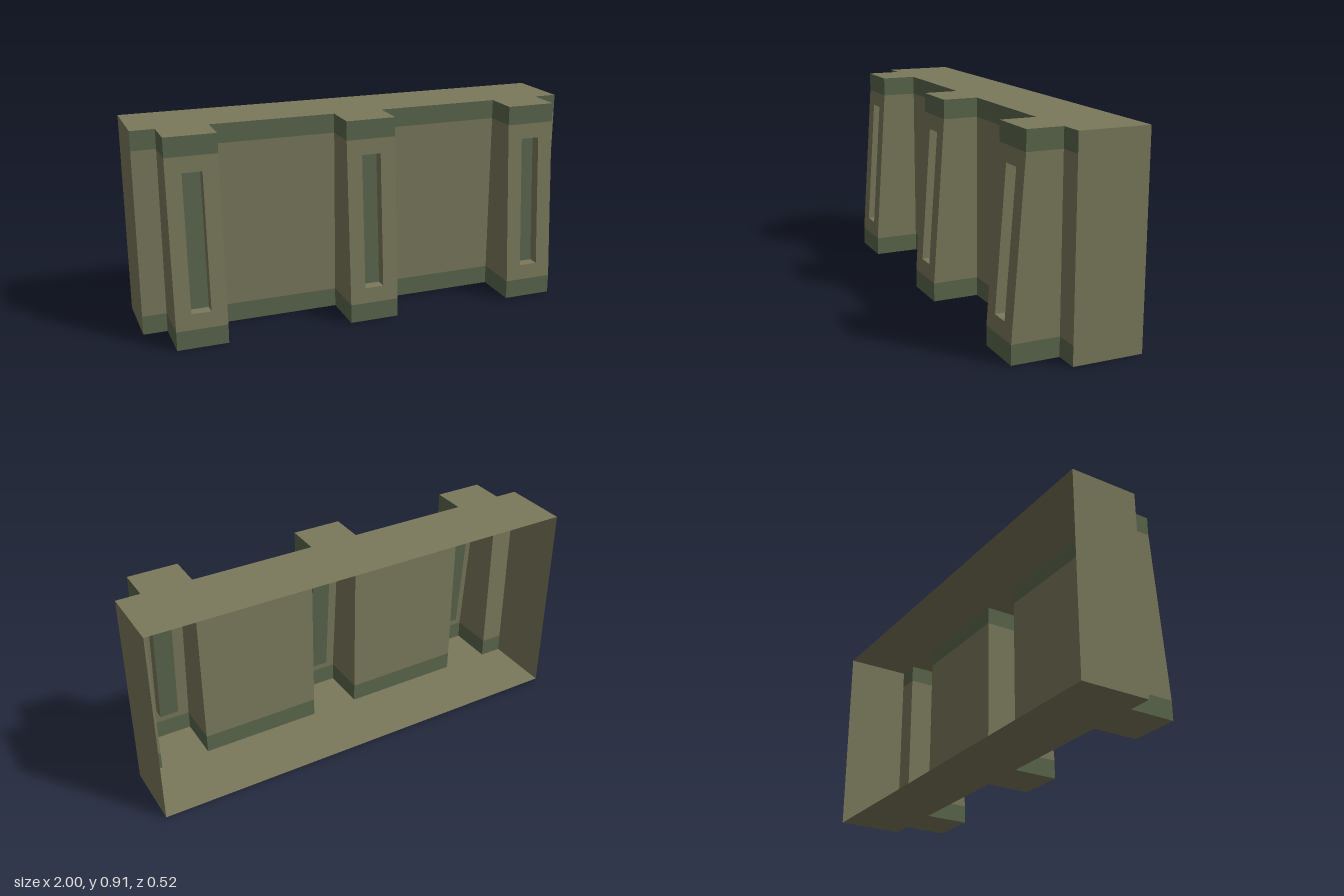
import * as THREE from 'three';
import { mergeGeometries } from 'three/addons/utils/BufferGeometryUtils.js';

const H = 0.91, BAND_LOW = 0.085, BAND_HIGH = 0.825;
const BACK = -0.26, WALL = 0.05, FOOT = 0.26, HEAD = 0.206;
const PILLARS = [-0.782, 0, 0.782], HALF = 0.112;
const SLOT_HALF = 0.043, SLOT_LOW = 0.155, SLOT_HIGH = 0.757, SLOT_DEPTH = 0.05;

// Depth of the leaning pillar face at height y
const faceZ = (y) => THREE.MathUtils.mapLinear(
  THREE.MathUtils.clamp(y, BAND_LOW, BAND_HIGH), BAND_LOW, BAND_HIGH, FOOT, HEAD);

// Flat four-cornered sheet, corners counter-clockwise from outside
function quad(a, b, c, d) {
  const g = new THREE.BufferGeometry();
  g.setAttribute('position', new THREE.Float32BufferAttribute([a, b, c, a, c, d].flat(), 3));
  g.computeVertexNormals();
  return g;
}

// Front outline in plan, left to right; lean marks points on a pillar face
function frontOutline() {
  const pts = [{ x: -1, lean: false }];
  for (const x of PILLARS) {
    pts.push({ x: x - HALF, lean: false }, { x: x - HALF, lean: true },
      { x: x + HALF, lean: true }, { x: x + HALF, lean: false });
  }
  pts.push({ x: 1, lean: false });
  return pts;
}
const at = (p, y) => [p.x, y, p.lean ? faceZ(y) : WALL];

// One horizontal course of the folded front wall
function course(y0, y1, skipFaces) {
  const pts = frontOutline(), parts = [];
  for (let i = 0; i < pts.length - 1; i++) {
    const p = pts[i], q = pts[i + 1];
    if (skipFaces && p.lean && q.lean) continue;
    parts.push(quad(at(p, y0), at(q, y0), at(q, y1), at(p, y1)));
  }
  return mergeGeometries(parts);
}

// Leaning pillar face with a slot opening
function pillarFace(x) {
  const rect = (h, y0, y1) => [[-h, y0], [h, y0], [h, y1], [-h, y1]]
    .map(([u, v]) => new THREE.Vector2(x + u, v));
  const shape = new THREE.Shape(rect(HALF, BAND_LOW, BAND_HIGH));
  shape.holes.push(new THREE.Path(rect(SLOT_HALF, SLOT_LOW, SLOT_HIGH).reverse()));
  const g = new THREE.ShapeGeometry(shape), pos = g.attributes.position;
  for (let i = 0; i < pos.count; i++) pos.setZ(i, faceZ(pos.getY(i)));
  g.computeVertexNormals();
  return g;
}

// Pocket behind the opening: four rim walls and a floor
function slot(x) {
  const rim = [[-1, SLOT_LOW], [1, SLOT_LOW], [1, SLOT_HIGH], [-1, SLOT_HIGH]]
    .map(([s, y]) => [x + s * SLOT_HALF, y, faceZ(y)]);
  const floor = rim.map(([u, v, w]) => [u, v, w - SLOT_DEPTH]);
  const walls = rim.map((r, i) => {
    const j = (i + 1) % 4;
    return quad(r, rim[j], floor[j], floor[i]);
  });
  return { walls: mergeGeometries(walls), floor: quad(...floor) };
}

// Plan-shaped cap at height y
function cap(y, up) {
  const pts = frontOutline().map((p) => new THREE.Vector2(p.x, -at(p, y)[2]));
  pts.push(new THREE.Vector2(1, -BACK), new THREE.Vector2(-1, -BACK));
  const g = new THREE.ShapeGeometry(new THREE.Shape(pts));
  g.rotateX(-Math.PI / 2).translate(0, y, 0);
  if (!up) {
    g.setIndex(Array.from(g.index.array).reverse());
    g.computeVertexNormals();
  }
  return g;
}

export function createModel() {
  const model = new THREE.Group();
  model.name = 'wallSection';
  const olive = new THREE.MeshStandardMaterial({ color: 0x7a795c, side: THREE.DoubleSide });
  const green = new THREE.MeshStandardMaterial({ color: 0x5a664c, side: THREE.DoubleSide });
  const add = (name, geometry, material, parent = model) => {
    const mesh = new THREE.Mesh(geometry, material);
    mesh.name = name;
    parent.add(mesh);
  };

  // Front wall with its two trim bands
  add('frontWall', course(BAND_LOW, BAND_HIGH, true), olive);
  add('bottomBand', course(0, BAND_LOW, false), green);
  add('topBand', course(BAND_HIGH, H, false), green);

  // Slotted pillar faces
  for (const x of PILLARS) {
    const pillar = new THREE.Group();
    pillar.name = 'pillar';
    const pocket = slot(x);
    add('pillarFace', pillarFace(x), olive, pillar);
    add('slotWalls', pocket.walls, olive, pillar);
    add('slotBack', pocket.floor, green, pillar);
    model.add(pillar);
  }

  // Top, underside and ends; the back stays open
  add('topPanel', cap(H, true), olive);
  add('bottomPanel', cap(0, false), olive);
  add('leftEnd', quad([1, 0, WALL], [1, 0, BACK], [1, H, BACK], [1, H, WALL]), olive);
  add('rightEnd', quad([-1, 0, BACK], [-1, 0, WALL], [-1, H, WALL], [-1, H, BACK]), olive);
  return model;
}
